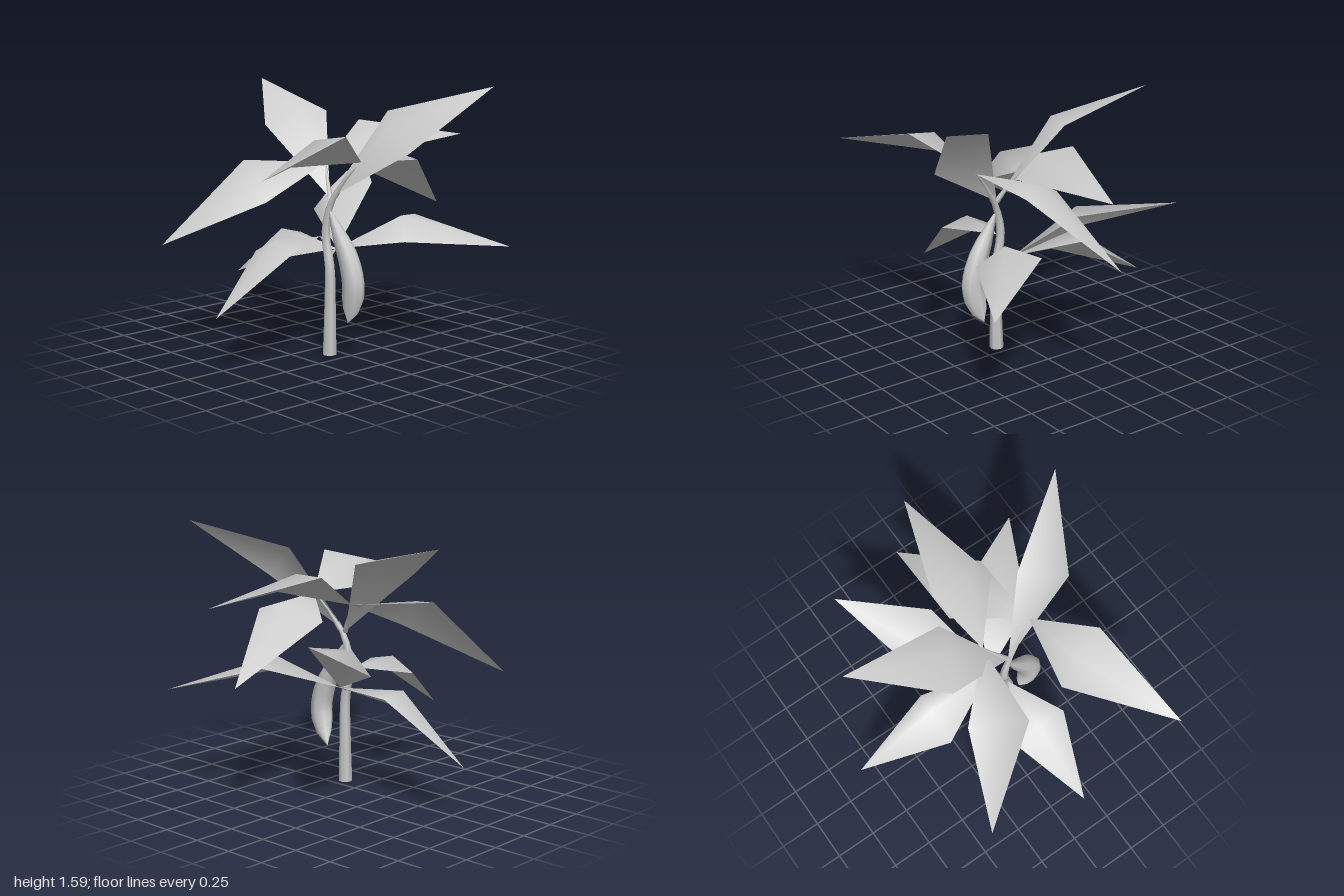
import * as THREE from 'three';

const material = new THREE.MeshStandardMaterial({ color: 0xcccccc, side: THREE.DoubleSide });

function addMesh(parent, name, geometry) {
  const mesh = new THREE.Mesh(geometry, material);
  mesh.name = name;
  parent.add(mesh);
  return mesh;
}

// Tube along a curve whose radius follows evenly spaced values; depth flattens it in z
function taperedTube(points, radii, segments, sides, depth = 1) {
  const curve = new THREE.CatmullRomCurve3(points.map((p) => new THREE.Vector3(...p)));
  const geometry = new THREE.TubeGeometry(curve, segments, 1, sides);
  const pos = geometry.attributes.position;
  const v = new THREE.Vector3();
  for (let i = 0; i < pos.count; i++) {
    const u = Math.floor(i / (sides + 1)) / segments;
    const t = u * (radii.length - 1);
    const k = Math.min(Math.floor(t), radii.length - 2);
    const radius = THREE.MathUtils.lerp(radii[k], radii[k + 1], t - k);
    const centre = curve.getPointAt(u);
    v.fromBufferAttribute(pos, i).sub(centre).multiplyScalar(radius);
    v.z *= depth;
    v.add(centre);
    pos.setXYZ(i, v.x, v.y, v.z);
  }
  return geometry;
}

// Kite-shaped leaf folded along its midrib: base, two side corners, raised middle, tip
function leafGeometry(base, sideA, middle, sideB, tip) {
  const geometry = new THREE.BufferGeometry();
  const corners = [base, sideA, middle, sideB, tip].flat();
  geometry.setAttribute('position', new THREE.Float32BufferAttribute(corners, 3));
  geometry.setIndex([0, 2, 1, 0, 3, 2, 1, 2, 4, 2, 3, 4]);
  geometry.computeVertexNormals();
  return geometry;
}

export function createModel() {
  const plant = new THREE.Group();
  plant.name = 'plant';

  // Points where the leaves join the branches
  const low = [0.09, 0.61, -0.03];
  const front = [0.11, 0.705, 0.12];
  const fork = [0.14, 0.93, 0.07];
  const topLeft = [0.33, 1.15, 0];
  const topRight = [0.015, 1.115, -0.01];

  // Stem with its foot closed
  addMesh(plant, 'stem', taperedTube(
    [[0.145, 0, 0.075], [0.148, 0.3, 0.075], [0.145, 0.52, 0.075], [0.11, 0.72, 0.075], [0.14, 0.88, 0.07], [0.19, 0.98, 0.055]],
    [0.042, 0.037, 0.033, 0.028, 0.024, 0.014], 15, 6));
  const foot = addMesh(plant, 'stemFoot', new THREE.CircleGeometry(0.041, 6));
  foot.rotation.x = Math.PI / 2;
  foot.position.set(0.145, 0, 0.075);

  // Thin branches out to the leaf joints
  const branches = [
    ['upperLeftBranch', [[0.17, 0.94, 0.06], [0.25, 1.06, 0.035], topLeft]],
    ['upperRightBranch', [fork, [0.07, 1.04, 0.03], topRight]],
    ['lowerBranch', [[0.125, 0.58, 0.075], [0.11, 0.6, 0.02], low]],
    ['frontBranch', [[0.11, 0.67, 0.075], [0.11, 0.69, 0.1], front]],
  ];
  for (const [name, points] of branches) {
    addMesh(plant, name, taperedTube(points, [0.018, 0.011, 0.003], 4, 5));
  }

  // Long curved fruit hanging from the stem
  addMesh(plant, 'fruit', taperedTube(
    [[0.15, 0.85, 0.075], [0.21, 0.74, 0.07], [0.285, 0.6, 0.06], [0.325, 0.45, 0.055], [0.3, 0.31, 0.045], [0.26, 0.205, 0.037]],
    [0.01, 0.034, 0.054, 0.066, 0.072, 0.074, 0.074, 0.052, 0], 16, 8, 0.76));

  // Leaves: joint, side corner, raised middle, side corner, tip
  const leaves = [
    ['topBackLeaf', topRight, [-0.08, 1.33, -0.36], [0.14, 1.325, -0.34], [0.3, 1.2, -0.33], [0.155, 1.21, -1]],
    ['topFrontRightLeaf', topRight, [0.02, 0.93, 0.445], [-0.13, 1.1, 0.41], [-0.325, 1.125, 0.33], [-0.493, 0.655, 0.805]],
    ['topFrontLeftLeaf', topLeft, [0.565, 1.35, 0.335], [0.36, 1.315, 0.38], [0.235, 1.155, 0.445], [0.65, 1.185, 0.995]],
    ['topDroopingBackLeaf', topLeft, [-0.02, 1.06, -0.29], [0.18, 1.165, -0.385], [0.32, 1.12, -0.46], [0.027, 0.775, -0.93]],
    ['raisedLeftLeaf', fork, [0.365, 1.435, -0.17], [0.5, 1.37, -0.05], [0.65, 1.225, -0.055], [0.863, 1.587, -0.507]],
    ['raisedRightLeaf', fork, [-0.315, 1.32, 0.175], [-0.2, 1.405, 0], [-0.165, 1.39, -0.173], [-0.78, 1.54, -0.18]],
    ['lowBackLeftLeaf', low, [0.25, 0.78, -0.51], [0.35, 0.81, -0.3], [0.48, 0.685, -0.2], [0.767, 0.623, -0.785]],
    ['lowBackRightLeaf', low, [-0.31, 0.77, -0.2], [-0.2, 0.915, -0.24], [-0.05, 0.94, -0.44], [-0.49, 1.03, -0.787]],
    ['lowRightLeaf', low, [-0.35, 0.49, 0.177], [-0.38, 0.665, 0], [-0.35, 0.63, -0.13], [-0.867, 0.31, -0.043]],
    ['lowFrontLeaf', front, [0.275, 0.685, 0.45], [0.095, 0.725, 0.45], [-0.07, 0.64, 0.45], [0.126, 0.35, 0.893]],
  ];
  for (const [name, ...corners] of leaves) addMesh(plant, name, leafGeometry(...corners));

  return plant;
}
